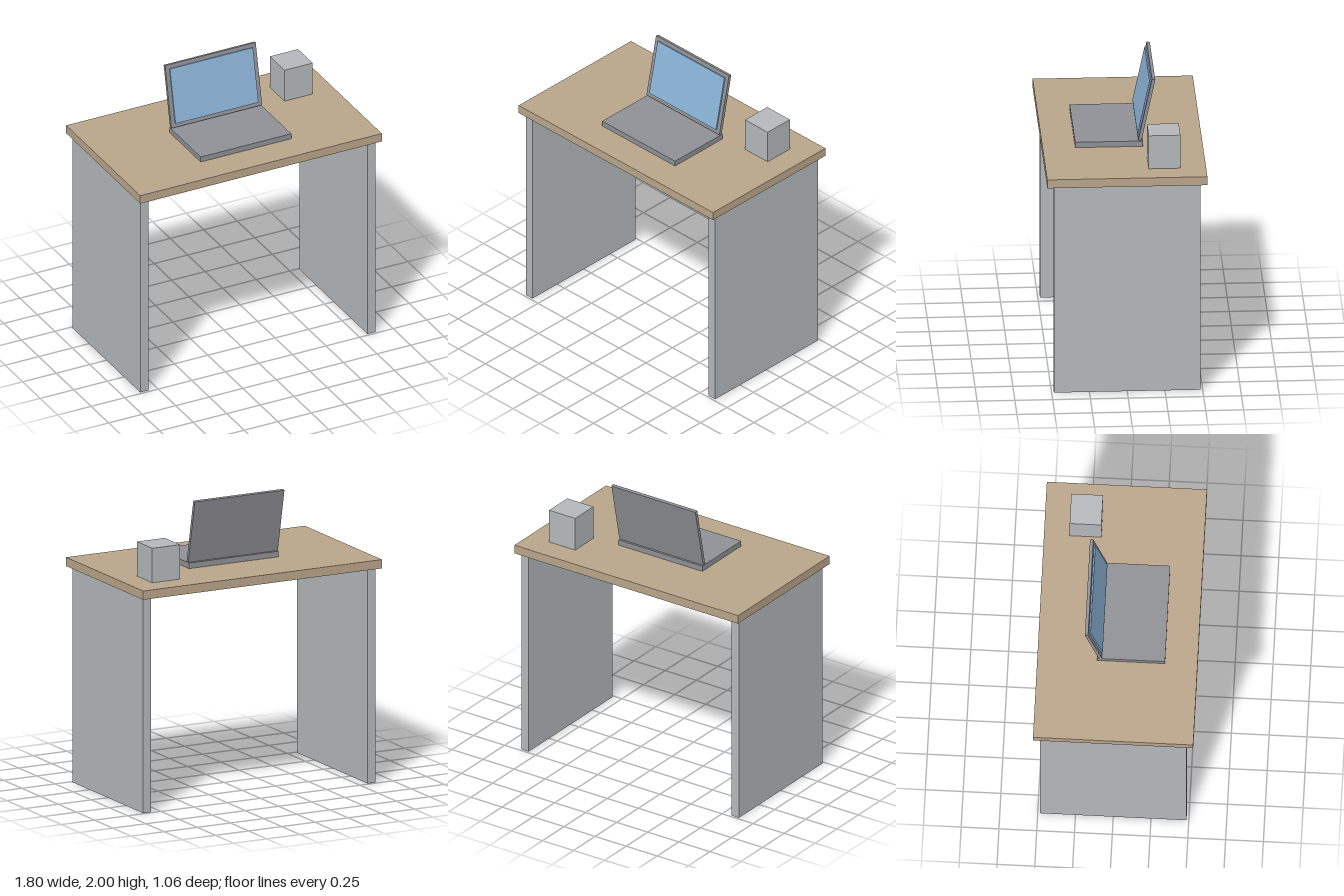
import * as THREE from 'three';

const material = (name, color) => {
  const m = new THREE.MeshStandardMaterial({ color });
  m.name = name;
  return m;
};

export function createModel() {
  const wood = material('wood', 0xb9a58a);
  const paleGrey = material('paleGrey', 0xb4b8bb);
  const laptopGrey = material('laptopGrey', 0x8f9095);
  const screenBlue = material('screenBlue', 0x8bb3d6);

  const desk = new THREE.Group();
  desk.name = 'deskWithLaptop';

  const box = (parent, name, mat, [w, h, d], [x, y, z]) => {
    const mesh = new THREE.Mesh(new THREE.BoxGeometry(w, h, d), mat);
    mesh.name = name;
    mesh.position.set(x, y, z);
    parent.add(mesh);
    return mesh;
  };

  // Table top on two panel legs
  box(desk, 'tableTop', wood, [1.8, 0.06, 1.06], [0, 1.495, 0]);
  for (const side of [1, -1]) {
    box(desk, side > 0 ? 'leftLeg' : 'rightLeg', paleGrey, [0.06, 1.465, 0.97], [side * 0.846, 0.7325, 0]);
  }

  // Block standing on the table
  box(desk, 'block', paleGrey, [0.21, 0.235, 0.21], [0.634, 1.6425, -0.255]);

  // Laptop: flat base and a lid leaning back, with the screen on its front
  const laptop = new THREE.Group();
  laptop.name = 'laptop';
  desk.add(laptop);
  box(laptop, 'laptopBase', laptopGrey, [0.675, 0.038, 0.45], [0, 1.544, 0.09]);

  const lid = new THREE.Group();
  lid.name = 'laptopLid';
  lid.position.set(0, 1.783, -0.159);
  lid.rotation.x = -THREE.MathUtils.degToRad(12);
  laptop.add(lid);
  box(lid, 'lidPanel', laptopGrey, [0.675, 0.44, 0.022], [0, 0, 0]);
  box(lid, 'screen', screenBlue, [0.618, 0.384, 0.0095], [0, 0, 0.0157]);

  return desk;
}
